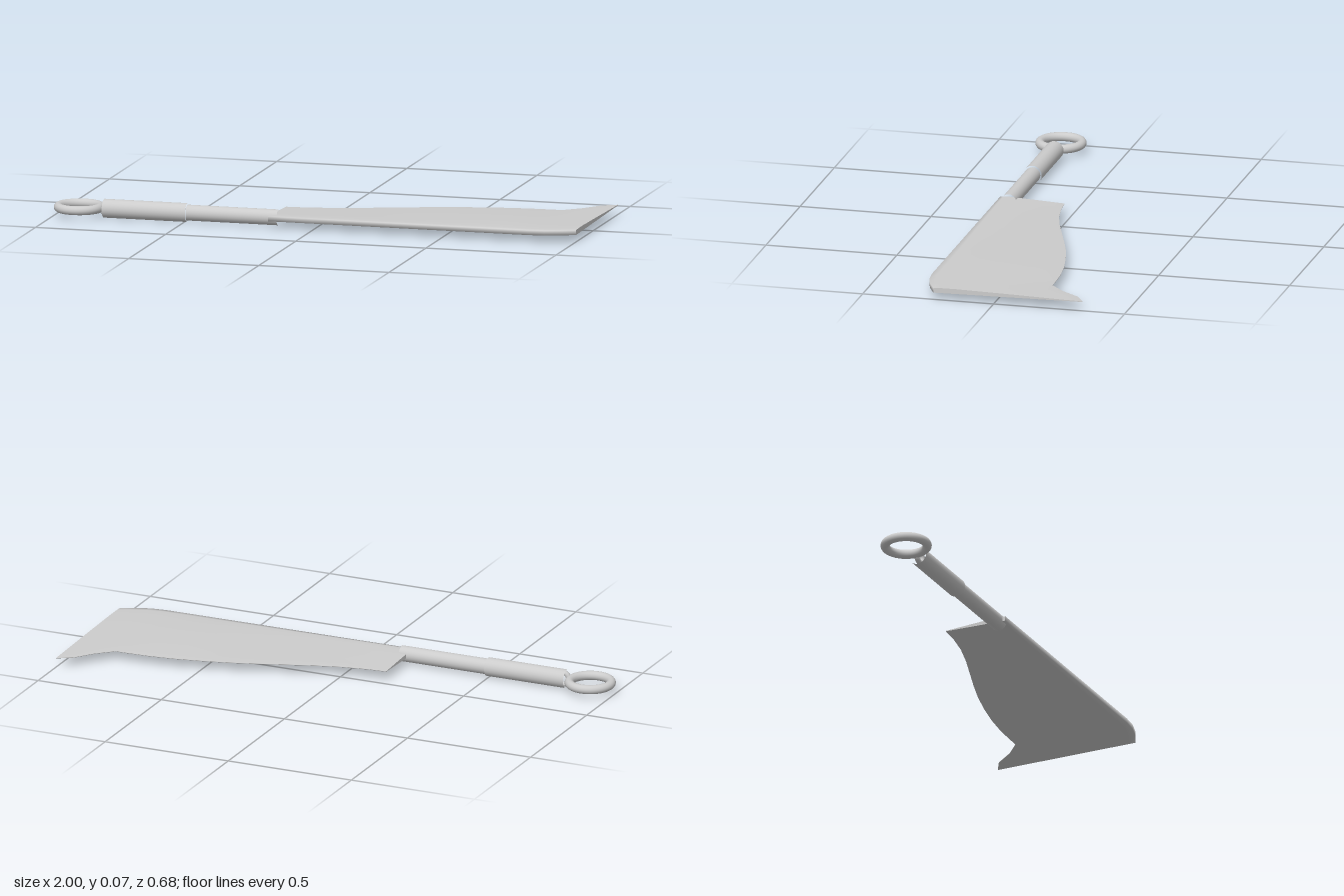
import * as THREE from 'three';

const Y = 0.036; // height of the centre plane
const HANDLE_Z = 0.24;
const material = new THREE.MeshStandardMaterial({ color: 0xcccccc });

function addPart(group, name, geometry, x = 0, y = 0, z = 0) {
  const mesh = new THREE.Mesh(geometry, material);
  mesh.name = name;
  mesh.position.set(x, y, z);
  group.add(mesh);
  return mesh;
}

// Open tube lying along x
function gripTube(x0, x1, radius) {
  return new THREE.CylinderGeometry(radius, radius, x1 - x0, 24, 1, true)
    .rotateZ(Math.PI / 2)
    .translate((x0 + x1) / 2, 0, 0);
}

// Blade outline stations: [x, spine z, cutting edge z]
const STATIONS = [
  [-0.17, 0.28, 0.034], [-0.1, 0.28, 0.029], [0, 0.28, 0.011], [0.1, 0.28, -0.018],
  [0.2, 0.28, -0.053], [0.3, 0.28, -0.088], [0.4, 0.28, -0.12], [0.5, 0.28, -0.145],
  [0.6, 0.28, -0.165], [0.7, 0.28, -0.177], [0.78, 0.28, -0.18], [0.83, 0.28, -0.181],
  [0.89, 0.274, -0.235], [0.945, 0.257, -0.308], [1, 0.23, -0.34],
];
// Cross-section: [fraction from spine to edge, half thickness]
const SECTION = [
  [0, 0.009], [0.05, 0.0105], [0.15, 0.0108], [0.3, 0.009],
  [0.5, 0.0068], [0.7, 0.0044], [0.87, 0.0024], [1, 0.001],
];

function bladeGeometry() {
  const positions = [];
  const index = [];
  const n = SECTION.length;
  const ring = n * 2;

  // Closed loop around the blade at one station: top face, then underside
  const loop = ([x, spine, edge]) => {
    const swell = 0.005 * Math.exp(-(((x - 0.66) / 0.22) ** 2));
    const top = SECTION.map(([t, h]) => [
      x, Y + h + swell * Math.sin(Math.PI * t), THREE.MathUtils.lerp(spine, edge, t)]);
    const under = SECTION.map(([t]) => [
      x, Y - THREE.MathUtils.lerp(0.009, 0.001, t), THREE.MathUtils.lerp(spine, edge, t)]);
    return [...top, ...under.reverse()];
  };

  STATIONS.forEach((s) => positions.push(...loop(s).flat()));
  for (let i = 0; i < STATIONS.length - 1; i++) {
    for (let j = 0; j < ring; j++) {
      const a = i * ring + j;
      const b = i * ring + ((j + 1) % ring);
      index.push(a, a + ring, b, b, a + ring, b + ring);
    }
  }

  // Flat caps on own vertices, so the two ends stay sharp
  [[STATIONS[0], false], [STATIONS[STATIONS.length - 1], true]].forEach(([s, far]) => {
    const start = positions.length / 3;
    positions.push(...loop(s).flat());
    for (let j = 0; j < n - 1; j++) {
      const a = start + j, b = a + 1, c = start + ring - 1 - j, d = c - 1;
      if (far) index.push(a, c, b, b, c, d);
      else index.push(a, b, c, b, d, c);
    }
  });

  const geometry = new THREE.BufferGeometry();
  geometry.setAttribute('position', new THREE.Float32BufferAttribute(positions, 3));
  geometry.setIndex(index);
  geometry.computeVertexNormals();
  return geometry;
}

export function createModel() {
  const model = new THREE.Group();
  model.name = 'ringHandledBlade';

  addPart(model, 'blade', bladeGeometry());

  // Two-step hollow handle
  addPart(model, 'grip', gripTube(-0.81, -0.49, 0.035), 0, Y, HANDLE_Z);
  addPart(model, 'gripSocket', gripTube(-0.49, -0.14, 0.0295), 0, Y, HANDLE_Z);

  // Pommel ring and the small link that holds it in the handle
  const pommel = new THREE.TorusGeometry(0.078, 0.017, 16, 48).rotateX(Math.PI / 2);
  addPart(model, 'pommelRing', pommel, -0.905, Y, HANDLE_Z);
  addPart(model, 'pommelLink', new THREE.TorusGeometry(0.023, 0.01, 12, 24), -0.795, Y, HANDLE_Z);

  return model;
}
